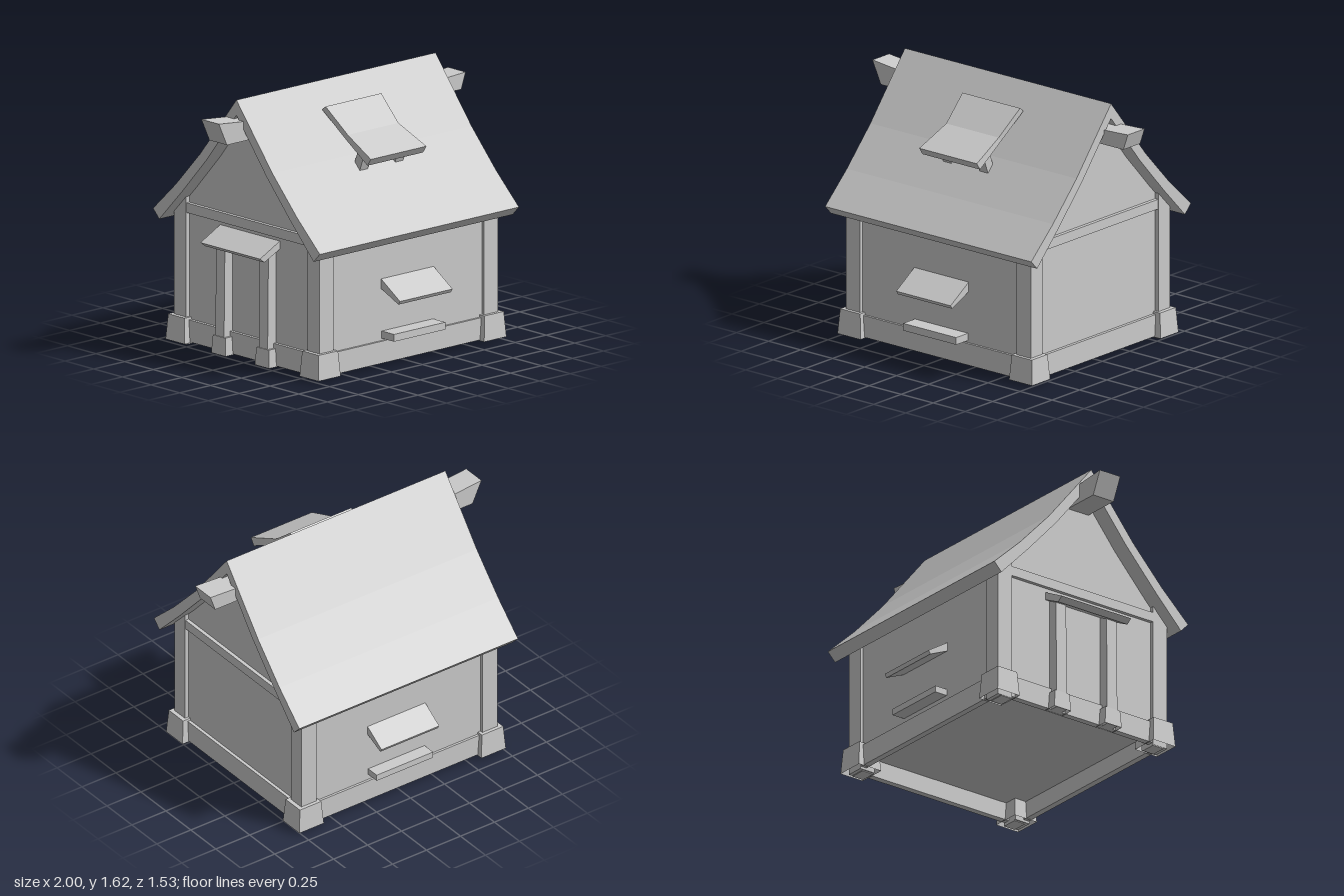
import * as THREE from 'three';

const ZC = -0.01; // ridge line
const XC = 0.005; // middle of the house

export function createModel() {
  const group = new THREE.Group();
  const mat = new THREE.MeshStandardMaterial({ color: 0xcccccc, flatShading: true });
  const shellMat = mat.clone();
  shellMat.side = THREE.DoubleSide;

  const add = (name, geometry, material = mat) => {
    const mesh = new THREE.Mesh(geometry, material);
    mesh.name = name;
    group.add(mesh);
    return mesh;
  };
  const extrude = (points, depth) => new THREE.ExtrudeGeometry(
    new THREE.Shape(points.map(([a, b]) => new THREE.Vector2(a, b))),
    { depth, bevelEnabled: false });
  // profile in (z, y), running from x0 to x1
  const prismX = (points, x0, x1) =>
    extrude(points, x1 - x0).rotateY(-Math.PI / 2).translate(x1, 0, 0);
  // profile in (x, y), running from z0 to z1
  const prismZ = (points, z0, z1) => extrude(points, z1 - z0).translate(0, 0, z0);
  const box = (x0, x1, y0, y1, z0, z1) => new THREE.BoxGeometry(x1 - x0, y1 - y0, z1 - z0)
    .translate((x0 + x1) / 2, (y0 + y1) / 2, (z0 + z1) / 2);
  // tapered sleeve, open underneath
  const sleeve = (x, z, y0, y1, wx, wz, taper) => {
    const g = new THREE.BoxGeometry(wx, y1 - y0, wz);
    const p = g.attributes.position;
    for (let i = 0; i < p.count; i++) {
      if (p.getY(i) > 0) p.setXYZ(i, p.getX(i) * taper, p.getY(i), p.getZ(i) * taper);
    }
    const index = Array.from(g.index.array);
    index.splice(18, 6);
    g.setIndex(index);
    g.computeVertexNormals();
    return g.translate(x, (y0 + y1) / 2, z);
  };

  // Walls with gables and raised floor
  add('walls', prismX([[-0.615, 0.13], [0.615, 0.13], [0.615, 0.84], [0, 1.56], [-0.615, 0.84]]
    .map(([z, y]) => [z + ZC, y]), -0.69, 0.70));

  // Roof: curved slopes with constant thickness
  const outer = [[0, 1.62], [0.315, 1.23], [0.53, 1.0], [0.728, 0.814]];
  const inner = [[0.674, 0.758], [0.475, 0.965], [0.262, 1.2], [0, 1.527]];
  const half = [...outer, ...inner];
  const mirrored = half.slice(1, -1).reverse().map(([z, y]) => [-z, y]);
  const lowerLeft = mirrored.slice(0, 3), upperLeft = mirrored.slice(3);
  add('roof', prismX([...half, ...lowerLeft, ...upperLeft].map(([z, y]) => [z + ZC, y]), -0.8, 0.81));

  // Corner posts with sleeves, and the timber between them
  for (const sx of [-1, 1]) {
    for (const sz of [-1, 1]) {
      const xs = [XC + sx * 0.61, XC + sx * 0.722].sort((a, b) => a - b);
      const profile = [[0.53, 0.005], [0.635, 0.005], [0.635, 0.83], [0.53, 0.95]]
        .map(([z, y]) => [sz * z + ZC, y]);
      add('cornerPost', prismX(profile, xs[0], xs[1]));
      add('postFoot', sleeve(XC + sx * 0.67, ZC + sz * 0.585, 0.015, 0.17, 0.18, 0.165, 0.87), shellMat);
      // foot pin under the post
      add('postPin', box(XC + sx * 0.67 - 0.05, XC + sx * 0.67 + 0.05, 0, 0.05,
        ZC + sz * 0.57 - 0.04, ZC + sz * 0.57 + 0.04));
    }
    const span = (a, b) => [XC + sx * a, XC + sx * b].sort((p, q) => p - q);
    add('sideSill', box(...span(0.675, 0.715), 0.02, 0.155, ZC - 0.54, ZC + 0.54));
    add('gableBeam', box(...span(0.66, 0.718), 0.81, 0.87, ZC - 0.53, ZC + 0.53));
  }
  for (const s of [-1, 1]) {
    const z = [ZC + s * 0.59, ZC + s * 0.63].sort((a, b) => a - b);
    add('longSill', box(-0.62, 0.63, 0.02, 0.155, z[0], z[1]));
  }

  // Ridge beam with slanted ends
  add('ridgeBeam', prismZ([[-0.935, 1.38], [0.96, 1.38], [0.995, 1.48], [0.8, 1.47],
    [-0.8, 1.5], [-1, 1.52]], -0.1, 0.053));

  // Window hoods and ledges, front and back
  add('frontHood', prismX([[0.58, 0.55], [0.77, 0.427], [0.756, 0.405], [0.58, 0.485]], -0.2, 0.225));
  add('backHood', prismX([[-0.6, 0.55], [-0.765, 0.445], [-0.752, 0.423], [-0.6, 0.49]], -0.2, 0.225));
  add('frontLedge', box(-0.195, 0.22, 0.168, 0.213, 0.58, 0.713));
  add('backLedge', box(-0.195, 0.22, 0.19, 0.23, -0.71, -0.6));

  // Roof hatch: bent cover, pinched at the bend, on short legs
  const cover = prismX([[0.537, 1.257], [0.314, 1.36], [0.142, 1.505], [0.112, 1.48],
    [0.296, 1.33], [0.507, 1.213]], -0.22, 0.23);
  const cp = cover.attributes.position;
  for (let i = 0; i < cp.count; i++) {
    if (Math.abs(cp.getZ(i) - 0.305) < 0.02) cp.setX(i, XC + (cp.getX(i) - XC) * 0.91);
  }
  cover.computeVertexNormals();
  add('hatchCover', cover);
  for (const x of [-0.133, 0.152]) {
    add('hatchLeg', prismX([[0.425, 1.265], [0.374, 1.29], [0.32, 1.15], [0.38, 1.145]], x - 0.032, x + 0.032));
    add('hatchUpperLeg', prismX([[0.215, 1.405], [0.18, 1.44], [0.13, 1.38], [0.165, 1.36]], x - 0.032, x + 0.032));
  }

  // Side porch
  add('porchRoof', prismZ([[-0.85, 0.703], [-0.68, 0.79], [-0.68, 0.74], [-0.815, 0.676]], -0.27, 0.25));
  for (const s of [-1, 1]) {
    const z = ZC + s * 0.19;
    add('porchPost', prismZ([[-0.76, 0.02], [-0.68, 0.02], [-0.68, 0.75], [-0.752, 0.72]], z - 0.038, z + 0.038));
    add('porchFoot', sleeve(-0.725, z, 0.015, 0.125, 0.09, 0.125, 0.87), shellMat);
  }
  return group;
}
